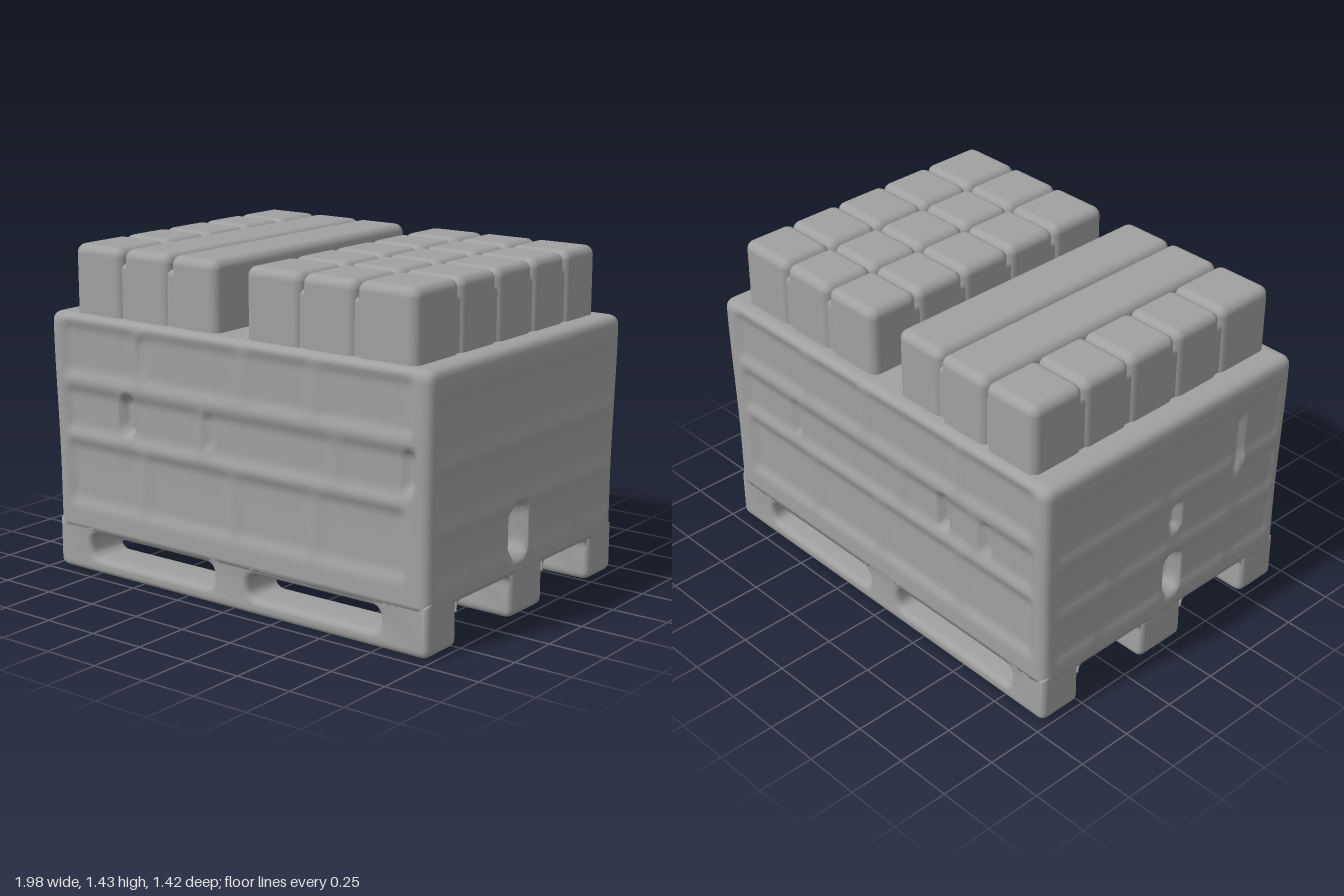
import * as THREE from 'three';
import { mergeVertices, toCreasedNormals } from 'three/addons/utils/BufferGeometryUtils.js';
import { RoundedBoxGeometry } from 'three/addons/geometries/RoundedBoxGeometry.js';

const material = new THREE.MeshStandardMaterial({ color: 0xa0a0a0 });
const { smoothstep, clamp } = THREE.MathUtils;

function addMesh(parent, geometry, name) {
  const mesh = new THREE.Mesh(geometry, material);
  mesh.name = name;
  parent.add(mesh);
  return mesh;
}

// Rounded slot outline used as a hole.
function slot(x0, x1, y0, y1, r) {
  const path = new THREE.Path();
  path.moveTo(x0 + r, y0);
  path.lineTo(x1 - r, y0);
  path.quadraticCurveTo(x1, y0, x1, y0 + r);
  path.lineTo(x1, y1 - r);
  path.quadraticCurveTo(x1, y1, x1 - r, y1);
  path.lineTo(x0 + r, y1);
  path.quadraticCurveTo(x0, y1, x0, y1 - r);
  path.lineTo(x0, y0 + r);
  path.quadraticCurveTo(x0, y0, x0 + r, y0);
  return path;
}

// 1 between a and b, fading to 0 at both ends.
function band(t, a, b, soft) {
  return smoothstep(t, a, a + soft) * (1 - smoothstep(t, b - soft, b));
}

// Each row of packed goods: bottom, top, then the upright seams.
const longRows = [
  [0.28, 0.60, [-0.93, -0.48, 0.01, 0.43, 0.89]],
  [0.60, 0.84, [-0.93, -0.57, -0.14, 0.53, 0.91]],
  [0.85, 1.12, [-0.93, -0.49, 0.07, 0.43, 0.92]],
];
const endRows = [
  [0.25, 0.48, [-0.67, -0.40, -0.02, 0.38, 0.67]],
  [0.49, 0.74, [-0.67, -0.32, 0.02, 0.39, 0.67]],
  [0.75, 1.04, [-0.67, -0.05, 0.39, 0.67]],
];

// Deeper gaps between goods: u range, y range, depth.
const gaps = {
  front: [[-0.60, -0.52, 0.63, 0.83, 0.045], [-0.15, -0.08, 0.64, 0.82, 0.022],
    [0.85, 0.91, 0.64, 0.83, 0.03], [-0.50, -0.43, 0.89, 1.10, 0.02]],
  back: [[-0.43, -0.36, 0.63, 0.83, 0.045], [-0.67, -0.60, 0.64, 0.82, 0.03],
    [0.50, 0.56, 0.63, 0.83, 0.025]],
  left: [[-0.015, 0.12, 0.245, 0.485, 0.10]],
  right: [[-0.01, 0.09, 0.25, 0.47, 0.08], [0.01, 0.08, 0.56, 0.72, 0.04],
    [0.38, 0.43, 0.65, 1.02, 0.025]],
};

// Sunken rows with faint upright seams, plus rounded deep gaps.
function reliefDepth(u, v, rows, faceGaps, depth) {
  let d = 0;
  for (const [v0, v1, seams] of rows) {
    let cell = 0;
    for (let i = 0; i < seams.length - 1; i++) {
      cell = Math.max(cell, band(u, seams[i], seams[i + 1], 0.06));
    }
    const row = band(v, v0, v1, 0.055) * band(u, seams[0], seams[seams.length - 1], 0.05);
    d = Math.max(d, depth * row * (0.6 + 0.4 * cell));
  }
  for (const [u0, u1, v0, v1, gapDepth] of faceGaps) {
    const a = (2 * u - u0 - u1) / (u1 - u0), b = (2 * v - v0 - v1) / (v1 - v0);
    d = Math.max(d, gapDepth * (1 - smoothstep((a ** 4 + b ** 4) ** 0.25, 0.65, 1)));
  }
  return d;
}

// Wrapped block of goods: rounded on top and uprights, with sunken panels.
function loadGeometry() {
  const W = 0.98, D = 0.70, y0 = 0.19, y1 = 1.135, r = 0.042;
  const geo = new THREE.BoxGeometry(2 * W, y1 - y0, 2 * D, 120, 52, 90);
  geo.translate(0, (y0 + y1) / 2, 0);
  const pos = geo.attributes.position;
  const p = new THREE.Vector3(), inner = new THREE.Vector3();
  for (let i = 0; i < pos.count; i++) {
    p.fromBufferAttribute(pos, i);
    const x = p.x, y = p.y, z = p.z;
    inner.set(clamp(x, r - W, W - r), Math.min(y, y1 - r), clamp(z, r - D, D - r));
    const offset = p.clone().sub(inner);
    if (offset.lengthSq() > 0 && y > y0 + 1e-4 || Math.abs(x) > W - r && Math.abs(z) > D - r) {
      p.copy(inner).addScaledVector(offset.normalize(), r);
    }
    if (Math.abs(z) > D - 1e-4) {
      p.z -= Math.sign(z) * reliefDepth(x, y, longRows, z > 0 ? gaps.front : gaps.back, 0.017);
    }
    if (Math.abs(x) > W - 1e-4) {
      p.x -= Math.sign(x) * reliefDepth(z, y, endRows, x > 0 ? gaps.left : gaps.right, 0.01);
    }
    // slight spread towards the rim
    const flare = 0.011 * smoothstep(y, 0.4, 1.1);
    p.x *= 1 + flare;
    p.z *= 1 + flare;
    pos.setXYZ(i, p.x, p.y, p.z);
  }
  geo.deleteAttribute('uv');
  geo.deleteAttribute('normal');
  const smooth = mergeVertices(geo, 1e-4);
  smooth.computeVertexNormals();
  return smooth;
}

// Pallet skid running along x, with two long slots through it.
function skidGeometry(z0, z1) {
  const b = 0.026, W = 0.98, top = 0.218, r = 0.04;
  const shape = new THREE.Shape();
  shape.moveTo(-W, top);
  shape.lineTo(-W, r);
  shape.quadraticCurveTo(-W, 0, r - W, 0);
  shape.lineTo(W - r, 0);
  shape.quadraticCurveTo(W, 0, W, r);
  shape.lineTo(W, top);
  shape.holes.push(slot(-0.79, -0.095, 0.067, 0.175, 0.05), slot(0.085, 0.755, 0.067, 0.17, 0.05));
  const geo = new THREE.ExtrudeGeometry(shape, {
    depth: z1 - z0 - 2 * b, bevelEnabled: true, bevelSize: b, bevelThickness: b,
    bevelOffset: -b, bevelSegments: 4, curveSegments: 8,
  });
  geo.translate(0, 0, z0 + b);
  return toCreasedNormals(geo, 0.7);
}

// Concave fillet where a skid meets the deck; dir points into the tunnel.
function filletGeometry(z, dir, x0, x1) {
  const r = 0.05, top = 0.192, s = new THREE.Shape();
  s.moveTo(-z, top);
  s.lineTo(-z - dir * r, top);
  s.quadraticCurveTo(-z, top, -z, top - r);
  const geo = new THREE.ExtrudeGeometry(s, { depth: x1 - x0, bevelEnabled: false, curveSegments: 8 });
  geo.rotateY(Math.PI / 2);
  geo.translate(x0, 0, 0);
  return toCreasedNormals(geo, 0.6);
}

function addCrate(parent, x0, x1, z0, z1, name) {
  const y0 = 1.08, y1 = 1.43;
  const geo = new RoundedBoxGeometry(x1 - x0, y1 - y0, z1 - z0, 4, 0.04);
  addMesh(parent, geo, name).position.set((x0 + x1) / 2, (y0 + y1) / 2, (z0 + z1) / 2);
}

// Solid core that closes the gaps below the crate tops.
function addCore(parent, x0, x1, z0, z1) {
  const core = addMesh(parent, new RoundedBoxGeometry(x1 - x0, 0.28, z1 - z0, 3, 0.03), 'crateCore');
  core.position.set((x0 + x1) / 2, 1.23, (z0 + z1) / 2);
}

export function createModel() {
  const model = new THREE.Group();
  model.name = 'loadedPallet';

  // Pallet
  const pallet = new THREE.Group();
  pallet.name = 'pallet';
  model.add(pallet);
  [[0.495, 0.70, 'frontSkid'], [-0.135, 0.11, 'middleSkid'], [-0.70, -0.50, 'backSkid']]
    .forEach(([z0, z1, name]) => addMesh(pallet, skidGeometry(z0, z1), name));
  for (const [z, dir] of [[0.495, -1], [0.11, 1], [-0.135, -1], [-0.50, 1]]) {
    for (const [x0, x1] of [[-0.975, -0.80], [-0.085, 0.075], [0.765, 0.975]]) {
      addMesh(pallet, filletGeometry(z, dir, x0, x1), 'deckFillet');
    }
  }

  // Wrapped goods
  addMesh(model, loadGeometry(), 'wrappedLoad');

  // Top layer: one row of crates and two long boxes, then a grid of crates
  const crates = new THREE.Group();
  crates.name = 'topCrates';
  model.add(crates);
  const rows = [-0.665, -0.40, -0.15, 0.11, 0.37, 0.665];
  for (let i = 0; i < 5; i++) {
    const z0 = rows[i], z1 = rows[i + 1];
    addCrate(crates, -0.875, -0.605, z0, z1, 'rowCrate');
    [[0.062, 0.342], [0.342, 0.607], [0.607, 0.892]].forEach(([x0, x1]) =>
      addCrate(crates, x0, x1, i === 0 ? z0 + 0.02 : z0, z1, 'gridCrate'));
  }
  addCrate(crates, -0.602, -0.347, -0.66, 0.66, 'longBox');
  addCrate(crates, -0.342, -0.092, -0.65, 0.66, 'longBox');
  addCore(crates, -0.865, -0.102, -0.64, 0.65);
  addCore(crates, 0.072, 0.88, -0.635, 0.652);

  return model;
}
